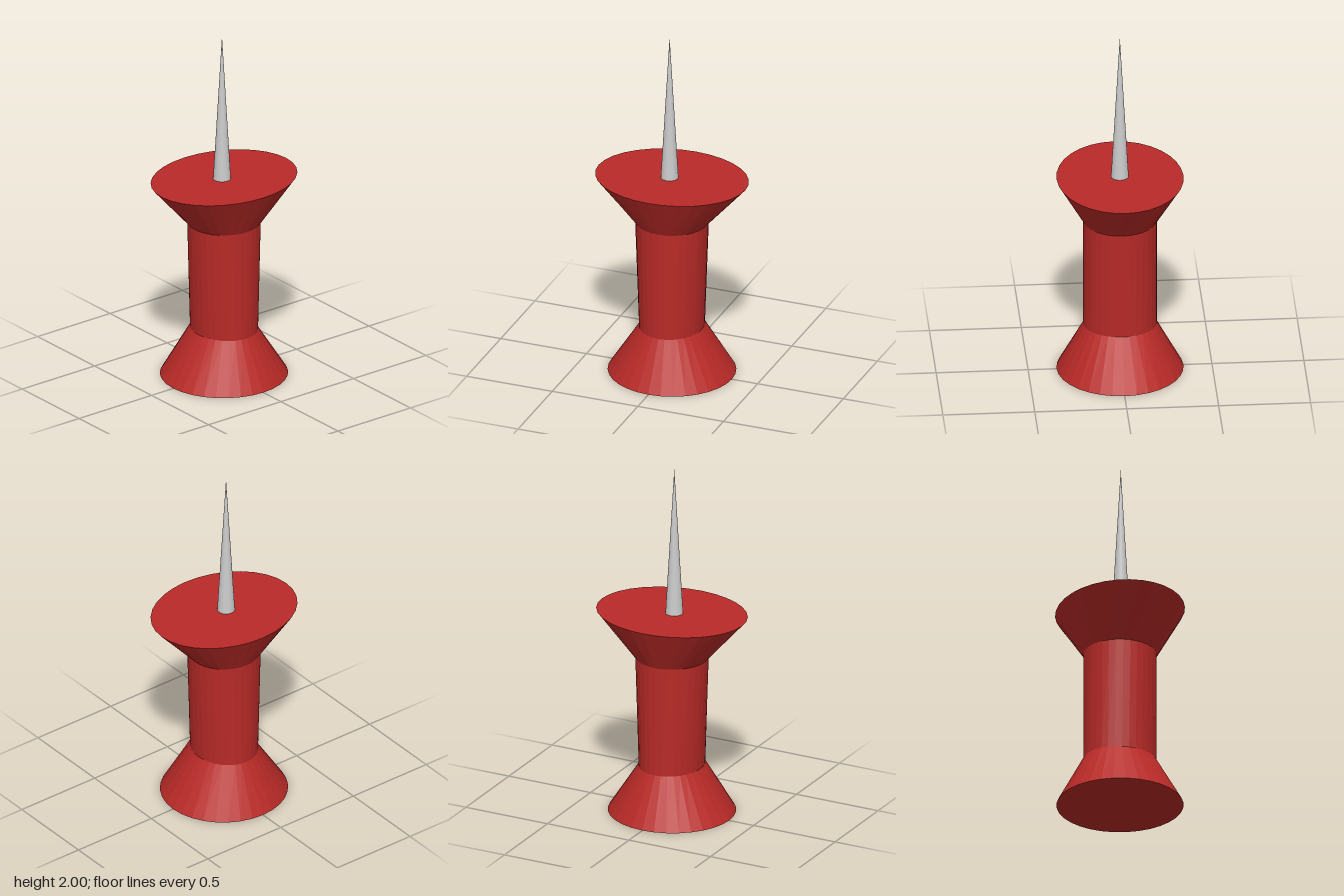
import * as THREE from 'three';

const SIDES = 32;

// Frustum with elliptical ends; each end is [y, xRadius, zRadius]
function ellipticalFrustum(name, [y0, x0, z0], [y1, x1, z1], material) {
  const geometry = new THREE.CylinderGeometry(1, 1, 1, SIDES);
  const p = geometry.attributes.position;
  for (let i = 0; i < p.count; i++) {
    const t = p.getY(i) + 0.5;
    p.setXYZ(
      i,
      p.getX(i) * THREE.MathUtils.lerp(x0, x1, t),
      THREE.MathUtils.lerp(y0, y1, t),
      p.getZ(i) * THREE.MathUtils.lerp(z0, z1, t)
    );
  }
  geometry.computeVertexNormals();
  const mesh = new THREE.Mesh(geometry, material);
  mesh.name = name;
  return mesh;
}

export function createModel() {
  const model = new THREE.Group();
  model.name = 'pushPin';

  const red = new THREE.MeshStandardMaterial({ color: 0xb82a27, flatShading: true });
  const grey = new THREE.MeshStandardMaterial({ color: 0xcccccc, flatShading: true });

  // Handle cross-sections from the ground up
  const foot = [0, 0.35, 0.345];
  const gripBottom = [0.27, 0.175, 0.2];
  const gripTop = [0.9, 0.2, 0.2];
  const rim = [1.155, 0.428, 0.345];

  model.add(
    ellipticalFrustum('head', foot, gripBottom, red),
    ellipticalFrustum('grip', gripBottom, gripTop, red),
    ellipticalFrustum('collar', gripTop, rim, red)
  );

  // Slightly off-centre needle, set into the collar
  const needle = new THREE.Mesh(new THREE.ConeGeometry(0.048, 0.845, SIDES), grey);
  needle.name = 'needle';
  needle.position.set(-0.014, 1.155 + 0.845 / 2, 0);
  model.add(needle);

  return model;
}
